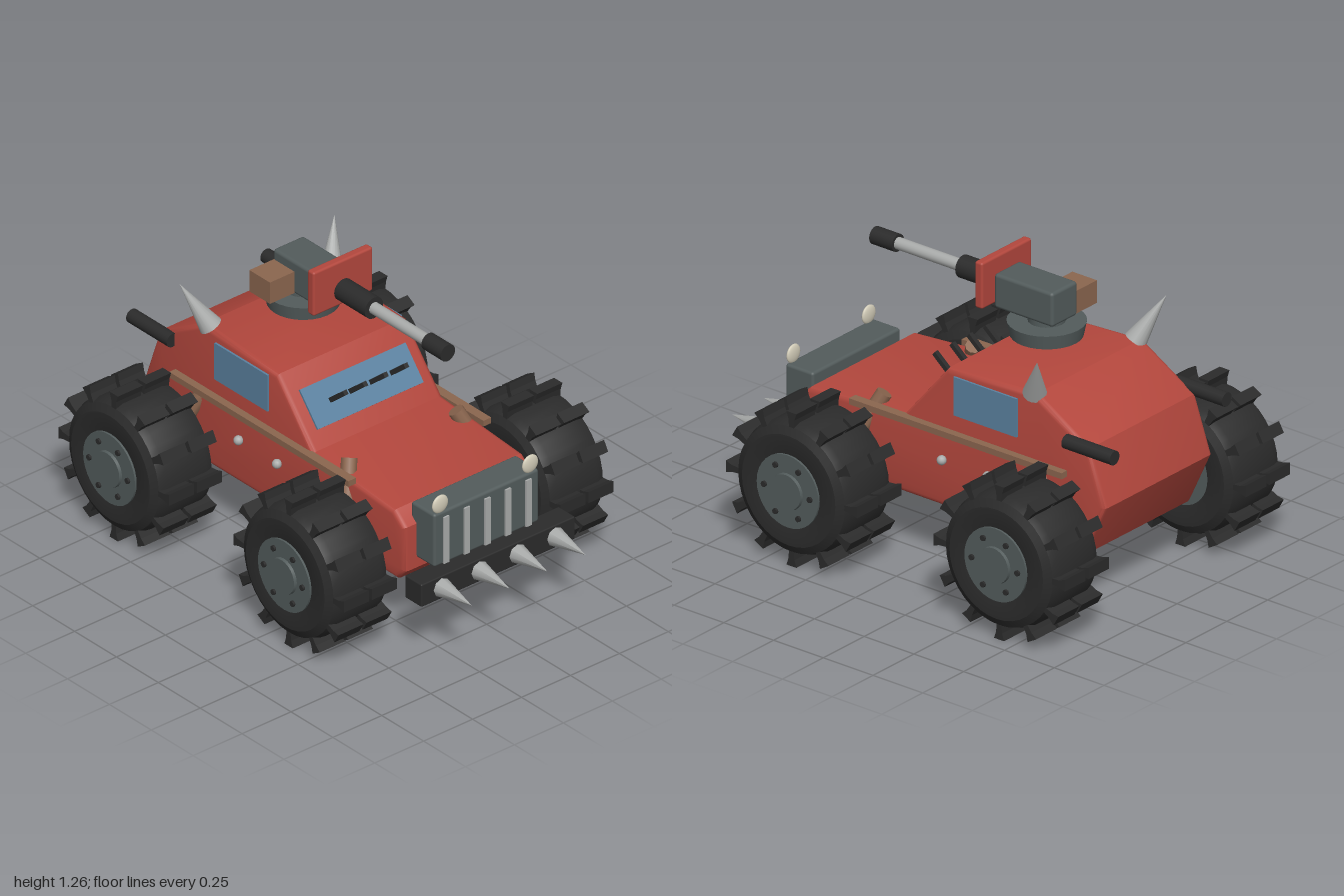
import * as THREE from 'three';
import { toCreasedNormals } from 'three/addons/utils/BufferGeometryUtils.js';
import { RoundedBoxGeometry } from 'three/addons/geometries/RoundedBoxGeometry.js';

const mat = (name, color) => Object.assign(new THREE.MeshStandardMaterial({ color }), { name });
const red = mat('red paint', 0xb3473d);
const grey = mat('gunmetal', 0x535c5c);
const black = mat('rubber black', 0x2b2b2b);
const steel = mat('steel', 0xa9abaa);
const brown = mat('leather brown', 0x8b664f);
const blue = mat('window blue', 0x5b82a0);
const cream = mat('lamp cream', 0xd2ccb8);

const V = (x, y, z) => new THREE.Vector3(x, y, z);

function add(parent, name, geometry, material, x = 0, y = 0, z = 0) {
  const mesh = new THREE.Mesh(geometry, material);
  mesh.name = name;
  mesh.position.set(x, y, z);
  parent.add(mesh);
  return mesh;
}

// Box given by its extents on each axis, optionally with rounded edges
function box(parent, name, material, [x0, x1], [y0, y1], [z0, z1], round = 0) {
  const size = [x1 - x0, y1 - y0, z1 - z0];
  const geo = round ? new RoundedBoxGeometry(...size, 2, round) : new THREE.BoxGeometry(...size);
  return add(parent, name, geo, material, (x0 + x1) / 2, (y0 + y1) / 2, (z0 + z1) / 2);
}

// Cylinder or cone from point a to point b
function rod(parent, name, material, a, b, ra, rb = ra, sides = 16) {
  const dir = b.clone().sub(a);
  const mesh = add(parent, name, new THREE.CylinderGeometry(rb, ra, dir.length(), sides), material);
  mesh.position.copy(a).add(b).multiplyScalar(0.5);
  mesh.quaternion.setFromUnitVectors(V(0, 1, 0), dir.normalize());
  return mesh;
}

function shapeOf(points) {
  return new THREE.Shape(points.map(([x, y]) => new THREE.Vector2(x, y)));
}

// Wheel around its own centre, with the outer face on +z
function makeWheel() {
  const wheel = new THREE.Group();
  wheel.name = 'wheel';
  const profile = [[0.14, -0.145], [0.16, -0.153], [0.235, -0.153], [0.268, -0.135], [0.28, -0.1],
    [0.28, 0.1], [0.268, 0.135], [0.235, 0.153], [0.16, 0.153], [0.14, 0.145]];
  const tyre = new THREE.LatheGeometry(profile.map(([r, y]) => new THREE.Vector2(r, y)), 36);
  tyre.rotateX(Math.PI / 2);
  add(wheel, 'tyre', toCreasedNormals(tyre, 0.5), black);

  // Two rows of flared tread lugs
  const lug = new THREE.ExtrudeGeometry(
    shapeOf([[-0.012, 0.265], [0.012, 0.265], [0.015, 0.3], [0.025, 0.33], [-0.025, 0.33], [-0.015, 0.3]]),
    { depth: 0.128, bevelEnabled: false });
  for (let i = 0; i < 12; i++) {
    for (const z of [-0.136, 0.008]) {
      add(wheel, 'treadLug', lug, black, 0, 0, z).rotation.z = i * Math.PI / 6;
    }
  }

  // Rim, hub cap and bolts
  rod(wheel, 'rim', grey, V(0, 0, -0.148), V(0, 0, 0.16), 0.155, 0.155, 32);
  rod(wheel, 'hubCap', grey, V(0, 0, 0.15), V(0, 0, 0.172), 0.08, 0.075, 24);
  for (let i = 0; i < 6; i++) {
    const a = i * Math.PI / 3, x = 0.115 * Math.cos(a), y = 0.115 * Math.sin(a);
    rod(wheel, 'wheelBolt', black, V(x, y, 0.155), V(x, y, 0.17), 0.012, 0.012, 8);
  }
  return wheel;
}

function makeHull() {
  const hull = new THREE.Group();
  hull.name = 'hull';
  const bevel = 0.022;
  const side = shapeOf([[-0.8, 0.27], [0.6, 0.27], [0.645, 0.32], [0.645, 0.52], [0.58, 0.575],
    [0.1, 0.612], [-0.115, 0.868], [-0.56, 0.892], [-0.825, 0.735], [-0.908, 0.5]]);
  const body = new THREE.ExtrudeGeometry(side, {
    depth: 0.664 - 2 * bevel, bevelThickness: bevel, bevelSize: bevel, bevelOffset: -bevel, bevelSegments: 3 });
  body.translate(0, 0, bevel - 0.332);
  add(hull, 'body', toCreasedNormals(body, 0.6), red);
  box(hull, 'bellyPlate', grey, [-0.7, 0.6], [0.225, 0.285], [-0.24, 0.24]);

  // Windscreen, tilted to lie on the sloping face, with rods standing out of it
  const screen = new THREE.Group();
  screen.name = 'windscreen';
  screen.position.set(0.001, 0.738, 0);
  screen.rotation.z = Math.atan2(0.215, 0.256);
  screen.rotation.z = Math.atan2(0.215, 0.256);
  box(screen, 'windscreenGlass', blue, [-0.005, 0.004], [-0.085, 0.085], [-0.27, 0.27]);
  for (const z of [-0.155, -0.05, 0.055, 0.155]) {
    box(screen, 'windscreenRod', black, [-0.01, 0.115], [-0.01, 0.01], [z - 0.01, z + 0.01]);
  }
  hull.add(screen);

  for (const s of [-1, 1]) {
    box(hull, 'sideWindow', blue, [-0.475, -0.158], [0.685, 0.85], [s * 0.3395 - 0.0045, s * 0.3395 + 0.0045]);
    box(hull, 'sideRail', brown, [-0.72, 0.35], [0.587, 0.613], [s * 0.345 - 0.02, s * 0.345 + 0.02]);
    rod(hull, 'exhaust', black, V(-0.968, 0.745, s * 0.343), V(-0.725, 0.745, s * 0.343), 0.03);
    rod(hull, 'roofSpike', steel, V(-0.538, 0.885, s * 0.308), V(-0.622, 1.072, s * 0.396), 0.048, 0, 16);
    for (const x of [-0.33, -0.1]) {
      add(hull, 'rivet', new THREE.SphereGeometry(0.02, 12, 8), steel, x, 0.475, s * 0.345);
    }
    // Leaning suspension struts and the axle stubs
    for (const x of [-0.675, 0.372]) {
      const inward = x > 0 ? -0.125 : 0.125;
      rod(hull, 'strut', brown, V(x + inward, 0.635, s * 0.272), V(x, 0.35, s * 0.4), 0.033, 0.033, 10);
      rod(hull, 'axle', steel, V(x, 0.33, s * 0.3), V(x, 0.33, s * 0.42), 0.04);
    }
  }
  return hull;
}

function makeNose() {
  const nose = new THREE.Group();
  nose.name = 'nose';
  box(nose, 'grille', grey, [0.61, 0.75], [0.365, 0.605], [-0.268, 0.268], 0.012);
  for (let i = -2; i <= 2; i++) {
    box(nose, 'grilleSlat', steel, [0.74, 0.758], [0.37, 0.58], [i * 0.105 - 0.014, i * 0.105 + 0.014]);
  }
  for (const z of [-0.23, 0.23]) {
    add(nose, 'headlamp', new THREE.SphereGeometry(0.04, 20, 12), cream, 0.74, 0.638, z).scale.x = 0.3;
  }
  box(nose, 'bumper', black, [0.72, 0.82], [0.268, 0.37], [-0.393, 0.393], 0.006);
  for (const z of [-0.29, -0.097, 0.097, 0.29]) {
    rod(nose, 'bumperSpike', steel, V(0.815, 0.32, z), V(1, 0.32, z), 0.042, 0, 8);
  }
  return nose;
}

function makeTurret() {
  const turret = new THREE.Group();
  turret.name = 'turret';
  rod(turret, 'turretRing', grey, V(-0.345, 0.967, 0), V(-0.345, 1.027, 0), 0.145, 0.157, 28);
  rod(turret, 'turretNeck', grey, V(-0.345, 1.02, 0), V(-0.345, 1.06, 0), 0.075, 0.075, 20);
  box(turret, 'gunHousing', grey, [-0.437, -0.142], [1.045, 1.192], [-0.078, 0.078], 0.014);
  box(turret, 'ammoBox', brown, [-0.43, -0.307], [1.05, 1.147], [0.07, 0.203]);
  box(turret, 'gunShield', red, [-0.145, -0.106], [1.063, 1.262], [-0.152, 0.152], 0.01);
  const along = (name, m, x0, x1, r) => rod(turret, name, m, V(x0, 1.13, 0), V(x1, 1.13, 0), r, r, 20);
  along('barrelJacket', black, -0.11, 0.077, 0.047);
  along('barrel', steel, 0.07, 0.42, 0.025);
  along('muzzle', black, 0.403, 0.518, 0.037);
  return turret;
}

export function createModel() {
  const model = new THREE.Group();
  model.name = 'armouredBuggy';
  model.add(makeHull(), makeNose(), makeTurret());
  for (const x of [-0.672, 0.372]) {
    for (const s of [-1, 1]) {
      const wheel = makeWheel();
      wheel.position.set(x, 0.333, s * 0.553);
      if (s < 0) wheel.rotation.y = Math.PI;
      model.add(wheel);
    }
  }
  return model;
}
